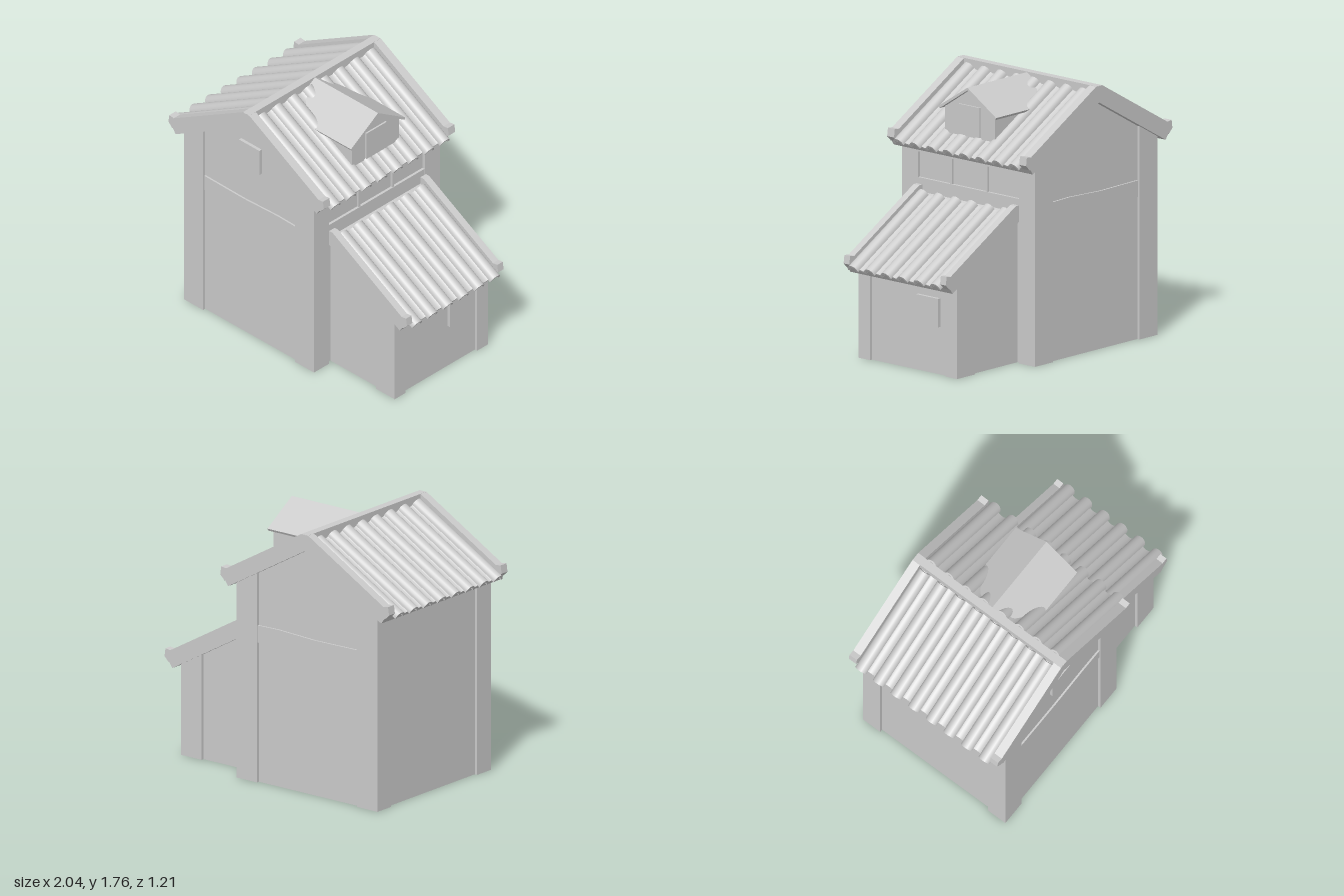
import * as THREE from 'three';
import { toCreasedNormals } from 'three/addons/utils/BufferGeometryUtils.js';

const mat = new THREE.MeshStandardMaterial({ color: 0xcccccc, side: THREE.DoubleSide });
const PITCH = 0.57; // rise over run of every tiled slope
const RIDGE_X = -0.297;

function add(parent, name, geometry) {
  const mesh = new THREE.Mesh(geometry, mat);
  mesh.name = name;
  parent.add(mesh);
  return mesh;
}

// Box given by its minimum and maximum corners
function box(parent, name, [x0, y0, z0], [x1, y1, z1]) {
  const m = add(parent, name, new THREE.BoxGeometry(x1 - x0, y1 - y0, z1 - z0));
  m.position.set((x0 + x1) / 2, (y0 + y1) / 2, (z0 + z1) / 2);
  return m;
}

// Prism of a 2D outline, running from z0 to z1
function prism(points, z0, z1) {
  const shape = new THREE.Shape(points.map(p => new THREE.Vector2(...p)));
  return new THREE.ExtrudeGeometry(shape, { depth: z1 - z0, bevelEnabled: false }).translate(0, 0, z0);
}

// Open-bottomed wall shell: a plan path raised to a height that depends on x
function shell(plan, top) {
  const v = [];
  for (let i = 0; i < plan.length - 1; i++) {
    const [ax, az] = plan[i], [bx, bz] = plan[i + 1];
    v.push(ax, 0, az, bx, 0, bz, bx, top(bx), bz);
    v.push(ax, 0, az, bx, top(bx), bz, ax, top(ax), az);
  }
  const g = new THREE.BufferGeometry();
  g.setAttribute('position', new THREE.Float32BufferAttribute(v, 3));
  g.computeVertexNormals();
  return g;
}

// Plan of a corner post standing proud of the walls on both faces
const cornerPost = (x, z, px, pz, inset) => [
  [x - px, z - inset], [x - px, z], [x, z], [x, z - pz], [x - inset, z - pz]];
const mirrorZ = pts => pts.map(([x, z]) => [x, -z]).reverse();
const mirrorX = (pts, c) => pts.map(([x, z]) => [2 * c - x, z]).reverse();

// Ring segment used for cover tiles and pans
function arc(cx, cy, r, a0, a1, n = 10) {
  return Array.from({ length: n + 1 }, (_, i) => {
    const a = a0 + (a1 - a0) * i / n;
    return [cx + r * Math.cos(a), cy + r * Math.sin(a)];
  });
}

// One tiled slope falling toward +x, with its ridge at x = 0
function roofSlope(name, halfZ, rows, trimW) {
  const g = new THREE.Group();
  g.name = name;
  const at = (x, y) => y - PITCH * x;
  add(g, 'roofDeck', prism([[0, 1.65], [0.635, at(0.635, 1.65)], [0.665, at(0.665, 1.71)], [0, 1.71]], -halfZ, halfZ));
  // Edge trims with an upturned foot
  const trim = [[0, 1.70], [0.665, at(0.665, 1.70)], [0.70, 1.355], [0.692, 1.41],
    [0.652, 1.405], [0.03, 1.76], [0, 1.76]];
  for (const z of [-halfZ, halfZ - trimW]) add(g, 'edgeTrim', prism(trim, z, z + trimW));

  // Tiles, built in the plane of the slope
  const tiles = new THREE.Group();
  tiles.name = 'tiles';
  const n = new THREE.Vector3(PITCH, 1, 0).normalize();
  const s = new THREE.Vector3(1, -PITCH, 0).normalize();
  tiles.applyMatrix4(new THREE.Matrix4().makeBasis(new THREE.Vector3(0, 0, -1), n, s));
  tiles.position.set(0, 1.71, 0);
  g.add(tiles);
  const step = 0.1435, r = 0.043, base = 0.009;
  const cover = toCreasedNormals(prism([...arc(0, base, r, 0, Math.PI),
    ...arc(0, base, r - 0.014, Math.PI, 0)], 0.025, 0.805), 0.6);
  const pan = toCreasedNormals(prism([...arc(0, 0.062, 0.058, Math.PI * 1.2, Math.PI * 1.8),
    ...arc(0, 0.062, 0.07, Math.PI * 1.8, Math.PI * 1.2)], 0.025, 0.785), 0.6);
  for (let i = 0; i < rows; i++) {
    const z = (i - (rows - 1) / 2) * step;
    add(tiles, 'coverTile', cover).position.x = z;
    if (i < rows - 1) add(tiles, 'panTile', pan).position.x = z + step / 2;
  }
  return g;
}

function house() {
  const g = new THREE.Group();
  g.name = 'mainHouse';
  const rightFront = cornerPost(0.29, 0.58, 0.17, 0.14, 0.02);
  const leftFront = mirrorX(rightFront, RIDGE_X + 0.002);
  const plan = [...leftFront, [RIDGE_X, 0.56], ...rightFront, ...mirrorZ(rightFront),
    [RIDGE_X, -0.56], ...mirrorZ(leftFront), leftFront[0]];
  add(g, 'walls', shell(plan, x => 1.66 - PITCH * Math.abs(x - RIDGE_X)));

  // Uneven tie beams across both gables
  const beam = [[-0.705, 0.945], [-0.5, 0.935], [-0.2, 0.935], [0.12, 0.943],
    [0.12, 1.058], [-0.05, 1.062], [-0.35, 1.05], [-0.705, 1.055]];
  add(g, 'frontBeam', prism(beam, 0.55, 0.572));
  add(g, 'backBeam', prism(beam, -0.572, -0.55));
  box(g, 'gableWindow', [-0.385, 1.315, 0.55], [-0.2, 1.505, 0.582]);

  // Window band above the lean-to
  box(g, 'windowHeader', [0.262, 1.26, -0.44], [0.288, 1.33, 0.44]);
  box(g, 'windowSill', [0.262, 1.02, -0.44], [0.288, 1.09, 0.44]);
  for (const z of [-0.155, 0.155]) box(g, 'windowMullion', [0.262, 1.08, z - 0.008], [0.285, 1.27, z + 0.008]);

  // Two slopes back to back and the ridge cap
  for (const turn of [0, Math.PI]) {
    const slope = roofSlope(turn ? 'leftRoof' : 'rightRoof', 0.605, 8, 0.06);
    slope.position.x = RIDGE_X;
    slope.rotation.y = turn;
    g.add(slope);
  }
  box(g, 'ridgeCap', [RIDGE_X - 0.028, 1.70, -0.604], [RIDGE_X + 0.028, 1.761, 0.604]);
  return g;
}

function leanTo() {
  const g = new THREE.Group();
  g.name = 'leanTo';
  const front = [[0.27, 0.41], ...cornerPost(0.87, 0.43, 0.17, 0.1, 0.02)];
  add(g, 'leanToWalls', shell([...front, ...mirrorZ(front)], x => 0.95 - PITCH * (x - 0.295)));
  box(g, 'sideWindow', [0.84, 0.315, -0.265], [0.872, 0.505, -0.075]);
  const slope = roofSlope('leanToRoof', 0.445, 6, 0.05);
  slope.position.set(0.295, -0.71, 0);
  g.add(slope);
  return g;
}

function dormer() {
  const g = new THREE.Group();
  g.name = 'dormer';
  // Cheeks follow the main slope at their foot
  add(g, 'dormerBody', prism([[-0.06, 1.57], [0.275, 1.425], [0.275, 1.6], [-0.06, 1.6]], -0.217, 0.217));
  const alongX = (pts, x0, x1) => prism(pts, x0, x1).rotateY(Math.PI / 2);
  add(g, 'dormerGable', alongX([[-0.217, 1.595], [0.217, 1.595], [0, 1.738]], -0.1, 0.275));
  add(g, 'dormerRoof', alongX([[-0.25, 1.597], [-0.242, 1.582], [0, 1.738], [0.242, 1.582],
    [0.25, 1.597], [0, 1.757]], -0.27, 0.3));
  box(g, 'dormerWindow', [0.26, 1.435, -0.093], [0.287, 1.635, 0.093]);
  return g;
}

export function createModel() {
  const model = new THREE.Group();
  model.name = 'tiledHouse';
  model.add(house(), leanTo(), dormer());
  return model;
}
